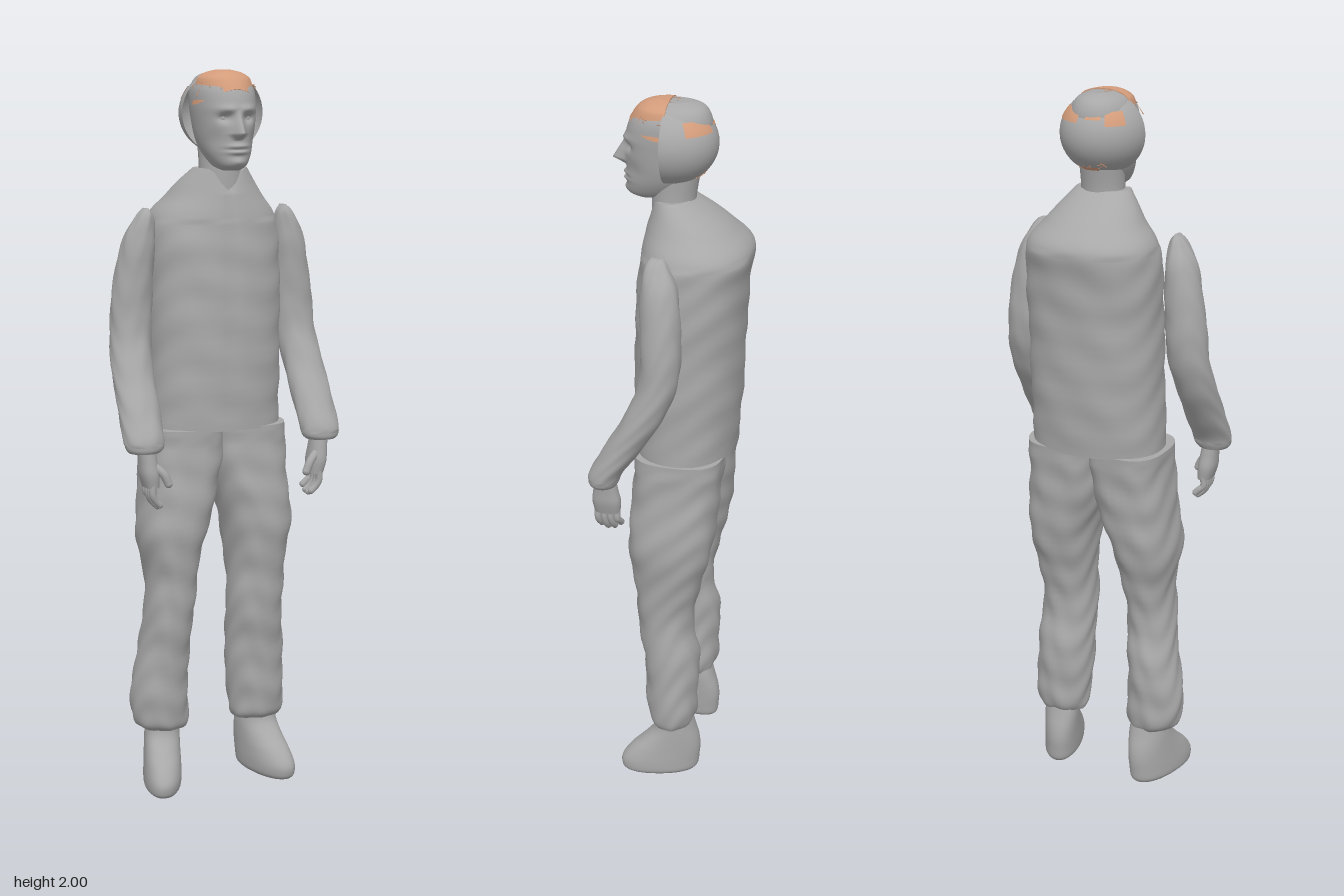
import * as THREE from 'three';
import { mergeGeometries } from 'three/addons/utils/BufferGeometryUtils.js';

const CX = 0.016; // body midline
const grey = new THREE.MeshStandardMaterial({ color: 0xa8a8a8, side: THREE.DoubleSide });
grey.name = 'plain grey';
const peach = new THREE.MeshStandardMaterial({ color: 0xd39c7b, side: THREE.DoubleSide });
peach.name = 'peach hair';

// Smooth loft through rows [y, xMin, xMax, zBack, zFront, squareness], listed from the bottom up
function loft(rows, { steps = 6, seg = 48, warp = null, caps = true } = {}) {
  const n = rows.length, pos = [], idx = [], rings = [];
  const spline = (a, b, c, d, t) =>
    b + 0.5 * t * (c - a + t * (2 * a - 5 * b + 4 * c - d + t * (3 * (b - c) + d - a)));
  for (let i = 0; i < n - 1; i++) {
    for (let s = 0; s < steps; s++) {
      const at = k => rows[Math.min(n - 1, Math.max(0, k))];
      rings.push(rows[i].map((_, c) => spline(at(i - 1)[c], at(i)[c], at(i + 1)[c], at(i + 2)[c], s / steps)));
    }
  }
  rings.push(rows[n - 1]);
  for (const [y, x0, x1, z0, z1, p] of rings) {
    for (let j = 0; j < seg; j++) {
      const a = (j / seg) * Math.PI * 2, c = Math.cos(a), s = Math.sin(a);
      const e = v => Math.sign(v) * Math.pow(Math.abs(v), 2 / p);
      const v = new THREE.Vector3((x0 + x1) / 2 + e(c) * (x1 - x0) / 2, y, (z0 + z1) / 2 + e(s) * (z1 - z0) / 2);
      if (warp) warp(v, a);
      pos.push(v.x, v.y, v.z);
    }
  }
  for (let i = 0; i < rings.length - 1; i++) {
    for (let j = 0; j < seg; j++) {
      const a = i * seg + j, b = i * seg + (j + 1) % seg;
      idx.push(a, a + seg, b, b, a + seg, b + seg);
    }
  }
  // Flat end caps with their own vertices keep the hems sharp
  for (const top of caps ? [false, true] : []) {
    const from = top ? (rings.length - 1) * seg : 0, base = pos.length / 3;
    const mid = [0, 0, 0];
    for (let j = 0; j < seg; j++) {
      for (let k = 0; k < 3; k++) {
        const v = pos[(from + j) * 3 + k];
        pos.push(v);
        mid[k] += v / seg;
      }
    }
    pos.push(...mid);
    for (let j = 0; j < seg; j++) {
      const a = base + j, b = base + (j + 1) % seg;
      if (top) idx.push(a, base + seg, b); else idx.push(a, b, base + seg);
    }
  }
  const g = new THREE.BufferGeometry();
  g.setAttribute('position', new THREE.Float32BufferAttribute(pos, 3));
  g.setIndex(idx);
  g.computeVertexNormals();
  return g;
}

const bump = (d, w) => Math.exp(-(d * d) / (w * w));
// Soft cloth creases
function crease(v, a, size = 0.003) {
  const w = size * Math.sin(v.y * 48 + 3 * Math.sin(a * 2)) * Math.sin(a * 3 + v.y * 17);
  v.x += w * Math.cos(a);
  v.z += w * Math.sin(a);
}

// Face relief: nose, brows, eye sockets, lips and chin
function faceRelief(v) {
  if (v.z < 0.05) return;
  const x = v.x - CX, y = v.y, ax = Math.abs(x);
  const nose = y > 1.832 ? Math.max(0, (1.893 - y) / 0.061) : Math.max(0, (y - 1.816) / 0.016);
  let d = 0.038 * nose * bump(x, 0.009 + 0.007 * nose);
  d -= 0.014 * bump(ax - 0.033, 0.017) * bump(y - 1.873, 0.012);
  d += 0.007 * bump(ax - 0.028, 0.028) * bump(y - 1.896, 0.01);
  d += 0.009 * bump(x, 0.026) * (bump(y - 1.799, 0.006) + bump(y - 1.784, 0.006));
  d -= 0.004 * bump(x, 0.03) * bump(y - 1.7915, 0.004);
  d += 0.006 * bump(x, 0.02) * bump(y - 1.758, 0.01);
  d -= 0.006 * bump(ax - 0.055, 0.018) * bump(y - 1.815, 0.025);
  v.z += d;
}

function makeHand() {
  const parts = [loft([
    [0.905, 0.222, 0.262, 0.115, 0.185, 2.5], [0.94, 0.222, 0.272, 0.112, 0.19, 2.4],
    [0.975, 0.226, 0.275, 0.118, 0.186, 2.2], [1.02, 0.232, 0.28, 0.125, 0.18, 2],
  ], { seg: 24 })];
  const finger = (pts, r) => {
    const p = pts.map(q => new THREE.Vector3(...q));
    parts.push(new THREE.TubeGeometry(new THREE.CatmullRomCurve3(p), 10, r, 10));
    parts.push(new THREE.SphereGeometry(r, 10, 8).translate(...pts[pts.length - 1]));
  };
  [0.006, 0, 0.002, 0.014].forEach((short, i) => {
    const z = 0.177 - i * 0.018;
    finger([[0.243, 0.92, z], [0.245, 0.885, z], [0.236, 0.862 + short, z - 0.003], [0.224, 0.85 + short, z - 0.005]], 0.0095);
  });
  finger([[0.24, 0.965, 0.17], [0.215, 0.94, 0.182], [0.203, 0.915, 0.184]], 0.0115);
  return mergeGeometries(parts.map(g => { g = g.toNonIndexed(); g.deleteAttribute('uv'); return g; }));
}

// Thin strands lying over a dome between two polar angles
function makeStrands(count, centre, radii, t0, t1, p0, p1, seed) {
  const rand = () => (seed = (seed * 16807) % 2147483647) / 2147483647;
  const list = [];
  for (let i = 0; i < count; i++) {
    const t = t0 + rand() * (t1 - t0), p = p0 + rand() * (p1 - p0);
    const n = new THREE.Vector3(Math.sin(t) * Math.cos(p), Math.cos(t), Math.sin(t) * Math.sin(p));
    const side = new THREE.Vector3(-Math.sin(p), 0, Math.cos(p));
    const dir = side.clone().multiplyScalar(rand() * 2 - 1).addScaledVector(side.cross(n), rand() * 2 - 1).normalize();
    const g = new THREE.ConeGeometry(0.0017, 0.02 + rand() * 0.02, 3);
    g.applyQuaternion(new THREE.Quaternion().setFromUnitVectors(new THREE.Vector3(0, 1, 0), dir));
    n.multiply(radii).add(centre);
    list.push(g.translate(n.x, n.y, n.z));
  }
  return mergeGeometries(list);
}

export function createModel() {
  const model = new THREE.Group();
  model.name = 'standingMan';
  const add = (name, geometry, material = grey, parent = model) => {
    const m = new THREE.Mesh(geometry, material);
    m.name = name;
    parent.add(m);
    return m;
  };

  // Jacket with sloping shoulders, rounded upper back and notched neckline
  add('jacket', loft([
    [1.03, -0.18, 0.196, -0.155, 0.115, 2.3], [1.2, -0.175, 0.197, -0.168, 0.118, 2.3],
    [1.4, -0.172, 0.2, -0.176, 0.114, 2.3], [1.54, -0.17, 0.2, -0.186, 0.105, 2.3],
    [1.61, -0.16, 0.19, -0.194, 0.096, 2.2], [1.66, -0.122, 0.152, -0.15, 0.086, 2.1],
    [1.70, -0.095, 0.122, -0.1, 0.078, 2], [1.74, -0.062, 0.09, -0.036, 0.07, 2],
  ], { seg: 72, steps: 8, warp: (v, a) => {
    if (v.y < 1.6) crease(v, a, v.y < 1.06 ? 0.001 : 0.003);
    if (v.z > 0) {
      v.z -= 0.004 * bump(v.x - CX, 0.006); // front opening
      if (v.y > 1.67) v.y -= (v.y - 1.67) * 0.6 * bump(v.x - CX, 0.035);
    }
  } }));

  // Trouser legs: [y, back, front, right outer, right inner, left inner, left outer, squareness]
  const legRows = [
    [0.165, -0.06, 0.045, -0.21, -0.085, 0.065, 0.205, 2],
    [0.19, -0.072, 0.062, -0.238, -0.08, 0.055, 0.213, 2],
    [0.26, -0.076, 0.07, -0.245, -0.08, 0.05, 0.216, 2],
    [0.38, -0.08, 0.077, -0.228, -0.08, 0.042, 0.21, 2],
    [0.5, -0.062, 0.095, -0.21, -0.072, 0.042, 0.2, 2.1],
    [0.62, -0.08, 0.102, -0.205, -0.062, 0.042, 0.204, 2.2],
    [0.74, -0.112, 0.118, -0.222, -0.035, 0.032, 0.222, 2.3],
    [0.85, -0.125, 0.115, -0.21, -0.004, 0.006, 0.215, 2.5],
    [0.95, -0.133, 0.106, -0.198, 0.014, -0.006, 0.206, 2.8],
    [1.035, -0.14, 0.104, -0.196, 0.016, -0.008, 0.204, 2.8],
  ];
  const warpLeg = (v, a) => crease(v, a, v.y < 1 ? 0.004 : 0);
  add('rightTrouserLeg', loft(legRows.map(r => [r[0], r[3], r[4], r[1], r[2], r[7]]), { warp: warpLeg }));
  add('leftTrouserLeg', loft(legRows.map(r => [r[0], r[5], r[6], r[1], r[2], r[7]]), { warp: warpLeg }));

  // Shoes, toes turned outwards
  for (const [name, x, turn] of [['rightShoe', -0.155, -0.25], ['leftShoe', 0.142, 0.22]]) {
    add(name, loft([
      [0, -0.072, 0.128, 0.045], [0.012, -0.08, 0.137, 0.054], [0.04, -0.083, 0.138, 0.056],
      [0.075, -0.085, 0.115, 0.055], [0.11, -0.08, 0.078, 0.054], [0.15, -0.068, 0.044, 0.053], [0.2, -0.055, 0.036, 0.05],
    ].map(([y, z0, z1, r]) => [y, x - r, x + r, z0, z1, 2.2]), {
      warp: v => { v.x += turn * (v.z + 0.015) - Math.sign(turn) * (v.y < 0.15 ? 0.04 * (v.y - 0.05) : 0.004); },
    }));
  }

  // Arms and hands: one side built, the other mirrored
  const sleeve = loft([
    [1.0, 0.218, 0.302, 0.118, 0.19, 2], [1.012, 0.206, 0.311, 0.112, 0.195, 2],
    [1.04, 0.202, 0.314, 0.1, 0.19, 2], [1.1, 0.2, 0.314, 0.058, 0.158, 2],
    [1.2, 0.196, 0.309, -0.006, 0.1, 2], [1.3, 0.187, 0.301, -0.044, 0.06, 2],
    [1.4, 0.18, 0.292, -0.052, 0.054, 2], [1.54, 0.176, 0.266, -0.042, 0.058, 2],
    [1.61, 0.18, 0.23, -0.015, 0.05, 2], [1.635, 0.195, 0.207, 0.0, 0.035, 2],
  ], { seg: 36, warp: (v, a) => crease(v, a, v.y < 1.02 ? 0 : 0.002) });
  const hand = makeHand();
  for (const [side, s] of [['left', 1], ['right', -1]]) {
    const arm = new THREE.Group();
    arm.name = side + 'Arm';
    arm.scale.x = s;
    add(side + 'Sleeve', sleeve, grey, arm);
    add(side + 'Hand', hand, grey, arm);
    model.add(arm);
  }

  // Neck and face
  add('neck', loft([
    [1.66, -0.05, 0.082, -0.045, 0.075, 2], [1.74, -0.043, 0.075, -0.042, 0.075, 2], [1.84, -0.045, 0.077, -0.06, 0.07, 2],
  ], { seg: 32 }));
  const headRows = [
    [1.735, 0.06, 0.112, 0.022], [1.748, 0.01, 0.138, 0.043], [1.78, -0.03, 0.141, 0.062],
    [1.82, -0.06, 0.142, 0.074], [1.87, -0.076, 0.143, 0.081], [1.91, -0.084, 0.141, 0.084],
    [1.95, -0.082, 0.127, 0.081], [1.98, -0.065, 0.1, 0.062], [1.994, -0.03, 0.065, 0.03],
  ].map(([y, z0, z1, r]) => [y, CX - r, CX + r, z0, z1, 2.1]);
  add('head', loft(headRows, { seg: 112, steps: 12, warp: faceRelief }));
  for (const s of [-1, 1]) {
    add(s > 0 ? 'leftEye' : 'rightEye', new THREE.SphereGeometry(0.011, 16, 12).translate(CX + s * 0.033, 1.873, 0.112));
  }

  // Shell round the back of the head, with patches of hair
  const centre = new THREE.Vector3(CX + 0.001, 1.885, 0.03);
  const dome = (t0, t1, p0, p1, grow = 0) => new THREE.SphereGeometry(1, 32, 24, p0, p1 - p0, t0, t1 - t0)
    .scale(0.117 + grow, 0.11 + grow, 0.13 + grow).translate(centre.x, centre.y, centre.z);
  add('backOfHead', dome(0, Math.PI, Math.PI, Math.PI * 2));
  [[0.85, 1.2, 3.7, 4.5], [0.8, 1.1, 4.7, 5.1], [0.9, 1.25, 5.2, 5.7], [2.35, 2.6, 4.4, 5.0]]
    .forEach((p, i) => add('hairPatch' + (i + 1), dome(...p, 0.002), peach));

  // Hair over the forehead, lower at the temples
  add('frontHair', loft([
    [1.947, CX - 0.086, CX + 0.086, -0.07, 0.131, 2.1], [1.975, CX - 0.072, CX + 0.072, -0.06, 0.112, 2.1],
    [1.99, CX - 0.052, CX + 0.052, -0.04, 0.09, 2], [1.998, CX - 0.02, CX + 0.02, 0.0, 0.06, 2],
  ], { warp: v => {
    v.z = Math.max(v.z, 0.024);
    const low = Math.max(0, (1.975 - v.y) / 0.028);
    v.y -= low * 0.04 * Math.pow(Math.abs(v.x - CX) / 0.086, 2);
  } }).toNonIndexed(), peach);
  add('topStrands', makeStrands(110, centre, new THREE.Vector3(0.106, 0.112, 0.118), 0.25, 1.0, 0, Math.PI * 2, 7), peach);
  add('napeStrands', makeStrands(14, centre, new THREE.Vector3(0.118, 0.11, 0.131), 2.2, 2.6, 4.2, 5.2, 23), peach);
  return model;
}
